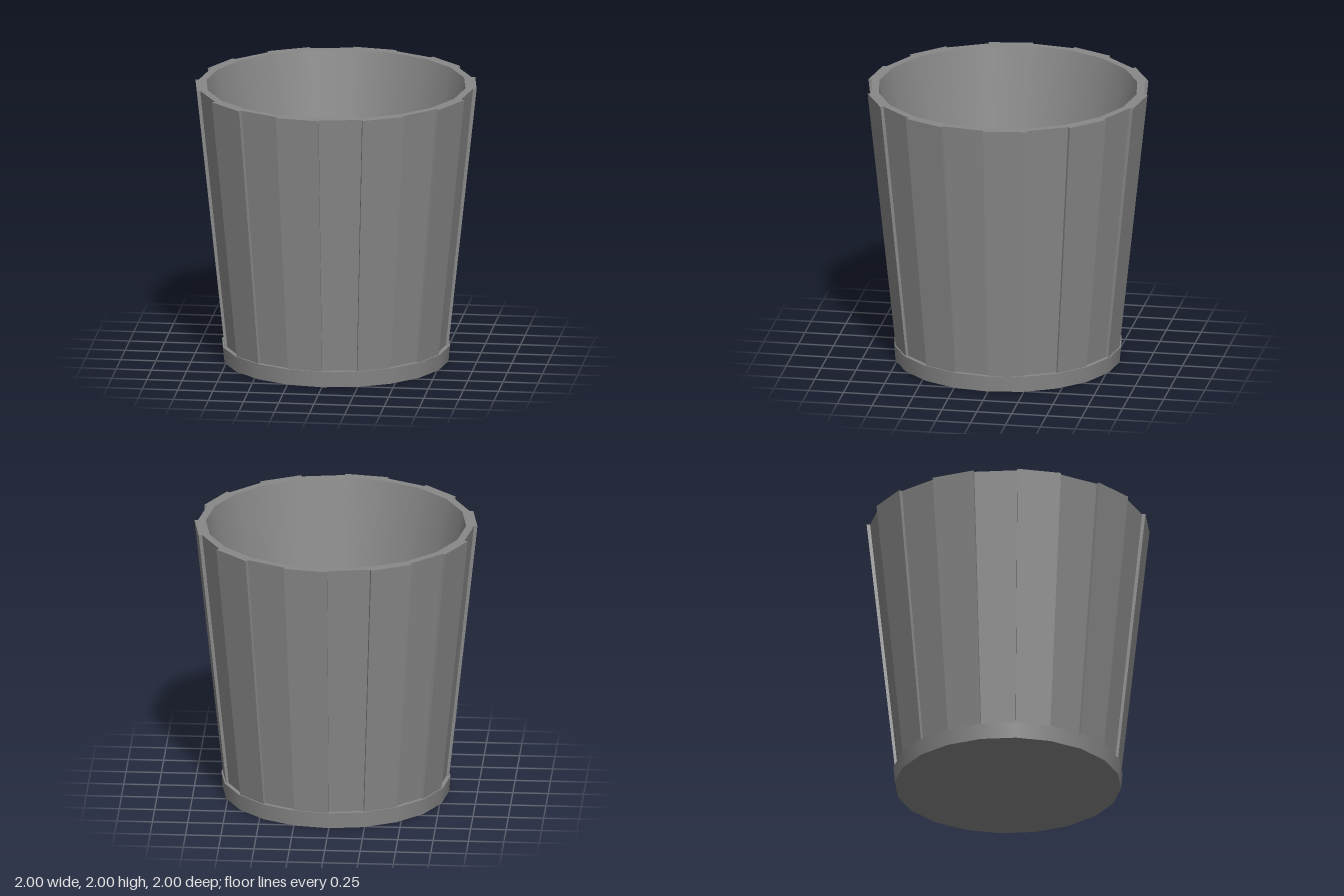
import * as THREE from 'three';

const SIDES = 20;
const HEIGHT = 2, BAND = 0.115, FLOOR = 0.12;
const BASE_R = 0.8, BAND_R = 0.81;      // plain band at the foot
const RIM_R = 0.92, FLOOR_R = 0.577;    // tapering inside
const RAISED = [0.8, 1.0], RECESSED = [0.78, 0.975]; // panel radius: bottom, top

const point = (i, r, y) => {
  const a = (i / SIDES) * Math.PI * 2;
  return [r * Math.sin(a), y, r * Math.cos(a)];
};

// Flat-shaded surface from quads, corners counter-clockwise from outside
function quadGeometry(quads) {
  const pos = [];
  for (const [a, b, c, d] of quads) pos.push(...a, ...b, ...c, ...a, ...c, ...d);
  const g = new THREE.BufferGeometry();
  g.setAttribute('position', new THREE.Float32BufferAttribute(pos, 3));
  g.computeVertexNormals();
  return g;
}

export function createModel() {
  const group = new THREE.Group();
  const material = new THREE.MeshStandardMaterial({ color: 0x888888 });
  const add = (name, geometry) => {
    const mesh = new THREE.Mesh(geometry, material);
    mesh.name = name;
    group.add(mesh);
    return mesh;
  };
  const lathe = (...pts) =>
    new THREE.LatheGeometry(pts.map(([r, y]) => new THREE.Vector2(r, y)), SIDES);

  // Alternating raised and recessed panels, with the steps between them
  const panels = [], steps = [], ledge = [], rim = [];
  for (let i = 0; i < SIDES; i++) {
    const [r0, r1] = i % 2 ? RAISED : RECESSED;
    const [p0, p1] = i % 2 ? RECESSED : RAISED; // neighbouring panel
    const j = i + 1;
    panels.push([point(i, r0, BAND), point(j, r0, BAND), point(j, r1, HEIGHT), point(i, r1, HEIGHT)]);
    steps.push([point(i, p0, BAND), point(i, r0, BAND), point(i, r1, HEIGHT), point(i, p1, HEIGHT)]);
    rim.push([point(i, r1, HEIGHT), point(j, r1, HEIGHT), point(j, RIM_R, HEIGHT), point(i, RIM_R, HEIGHT)]);
    ledge.push([point(i, BAND_R, BAND), point(j, BAND_R, BAND), point(j, r0, BAND), point(i, r0, BAND)]);
  }
  add('wallPanels', quadGeometry(panels));
  add('panelSteps', quadGeometry(steps));
  add('bandLedge', quadGeometry(ledge));
  add('rim', quadGeometry(rim));

  // Smooth foot band and inner wall
  add('baseBand', lathe([BASE_R, 0], [BAND_R, BAND]));
  add('innerWall', lathe([RIM_R, HEIGHT], [FLOOR_R, FLOOR]));

  // Inner floor and underside
  const floor = add('innerFloor', new THREE.CircleGeometry(FLOOR_R, SIDES));
  floor.rotation.x = -Math.PI / 2;
  floor.position.y = FLOOR;
  add('underside', new THREE.CircleGeometry(BASE_R, SIDES)).rotation.x = Math.PI / 2;

  return group;
}
